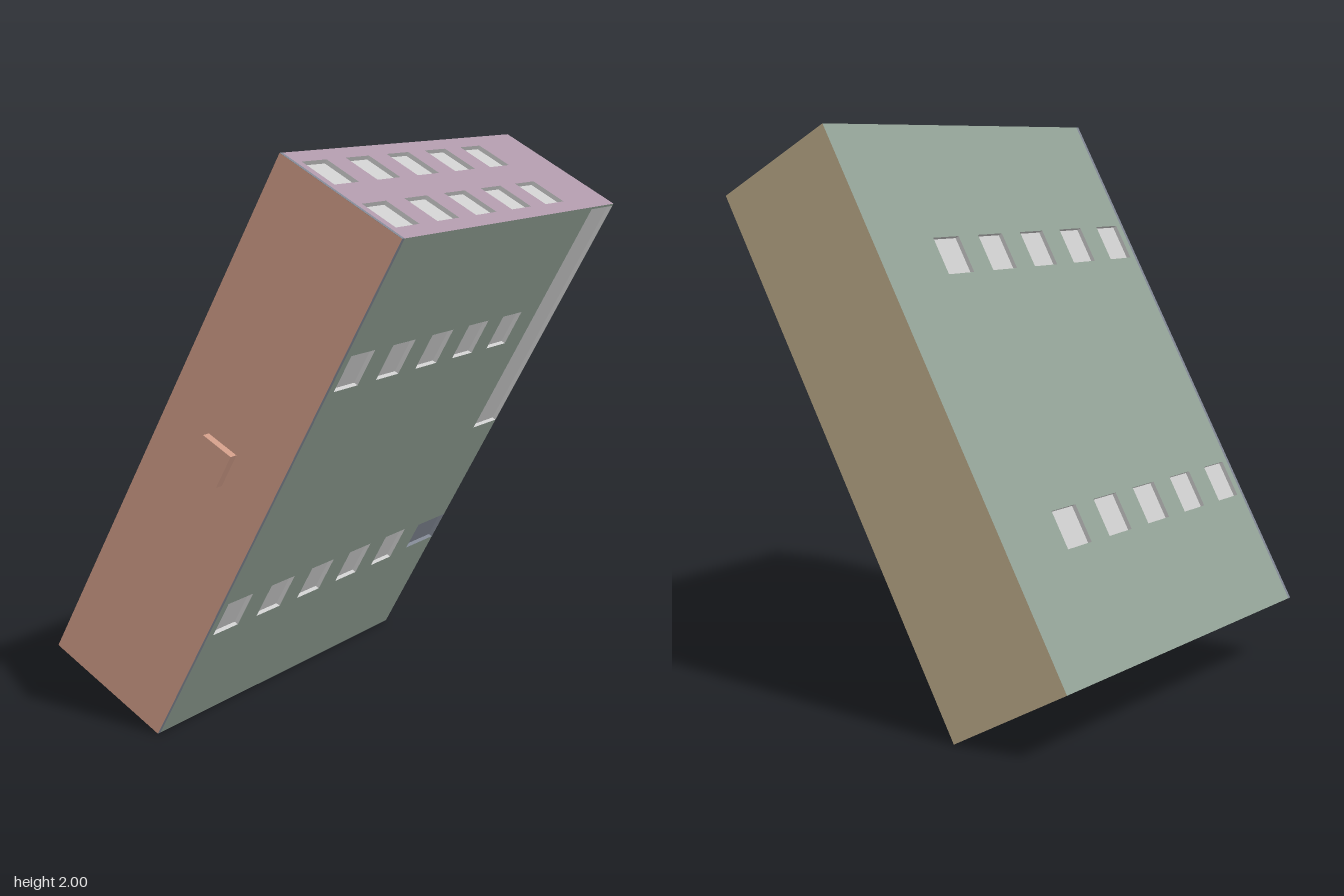
import * as THREE from 'three';

const W = 0.502, H = 2.004;              // cross-section of the leaning block
const BACK = -0.777, SEAM = 0.73, FRONT = 0.745;
const L = SEAM - BACK, ZC = (SEAM + BACK) / 2;
const DEPTH = 0.015, TILT = 0.5012;
const GREY = 0xcccccc, GREEN = 0x91a195, PURPLE = 0xad96a8;
const TAN = 0xbfae8c, SALMON = 0xcc9985, SLATE = 0x7f8591;

function mesh(name, geometry, color, side = THREE.FrontSide) {
  const m = new THREE.Mesh(geometry, new THREE.MeshStandardMaterial({ color, side }));
  m.name = name;
  return m;
}

// Shallow open tray seen from inside: a box without its outer face
function pocket({ name, x, y, w, h, color }) {
  const g = new THREE.BoxGeometry(w, h, DEPTH);
  const index = Array.from(g.index.array);
  index.splice(24, 6);
  g.setIndex(index);
  g.clearGroups();
  const m = mesh(name, g, color, THREE.BackSide);
  m.position.set(x, y, -DEPTH / 2);
  return m;
}

// Flat wall, facing +z, with a tray behind each opening
function wall(name, w, h, color, openings) {
  const group = new THREE.Group();
  group.name = name;
  const rect = (cx, cy, rw, rh) => [[-1, -1], [1, -1], [1, 1], [-1, 1]]
    .map(([a, b]) => new THREE.Vector2(cx + a * rw / 2, cy + b * rh / 2));
  const shape = new THREE.Shape(rect(0, 0, w, h));
  for (const o of openings) {
    shape.holes.push(new THREE.Path(rect(o.x, o.y, o.w, o.h).reverse()));
    group.add(pocket(o));
  }
  group.add(mesh(name + 'Surface', new THREE.ShapeGeometry(shape), color));
  return group;
}

export function createModel() {
  const model = new THREE.Group();
  model.name = 'leaningBlock';
  const body = new THREE.Group();
  body.name = 'body';
  body.position.y = 1;
  body.rotation.z = -TILT;
  model.add(body);

  const rows = [0, 1, 2, 3, 4].map(i => 0.627 - i * 0.254);

  for (const s of [1, -1]) {
    // Long side walls with two rows of windows
    const across = z => -s * (z - ZC);
    const sideOpenings = [];
    for (const y of [-0.502, 0.502]) for (const z of rows)
      sideOpenings.push({ name: 'sideWindow', x: across(z), y, w: 0.142, h: 0.137, color: GREY });
    if (s === 1) {
      // Tall recess and small dark recess along the back edge
      const slot = (name, z0, y0, y1, color) => {
        const z1 = BACK + 0.001;
        sideOpenings.push({ name, x: across((z0 + z1) / 2), y: (y0 + y1) / 2, w: z0 - z1, h: y1 - y0, color });
      };
      slot('tallRecess', -0.597, 0.023, 0.993, GREY);
      slot('darkRecess', -0.574, -0.558, -0.444, SLATE);
    }
    const side = wall(s === 1 ? 'leftWall' : 'rightWall', L, H, GREEN, sideOpenings);
    side.rotation.y = s * Math.PI / 2;
    side.position.set(s * W / 2, 0, ZC);
    body.add(side);

    // End walls with two columns of windows
    const endOpenings = [];
    for (const x of [-0.125, 0.125]) for (const z of rows)
      endOpenings.push({ name: 'endWindow', x, y: across(z), w: 0.137, h: 0.142, color: GREY });
    const end = wall(s === 1 ? 'topWall' : 'bottomWall', W, L, PURPLE, endOpenings);
    end.rotation.x = -s * Math.PI / 2;
    end.position.set(0, s * H / 2, ZC);
    body.add(end);
  }

  // Back wall
  const back = wall('backWall', W, H, TAN, []);
  back.rotation.y = Math.PI;
  back.position.z = BACK;
  body.add(back);

  // Front slab with its coloured facing
  const slab = mesh('frontSlab', new THREE.BoxGeometry(W, H, FRONT - SEAM - 0.001), SLATE);
  slab.position.z = (FRONT + SEAM - 0.001) / 2;
  const facing = wall('frontWall', W, H, SALMON, []);
  facing.position.z = FRONT;

  // Square knob in the middle of the front
  const knob = mesh('frontKnob', new THREE.BoxGeometry(0.125, 0.125, 0.032), SALMON);
  knob.position.z = FRONT + 0.016;
  body.add(slab, facing, knob);

  return model;
}
